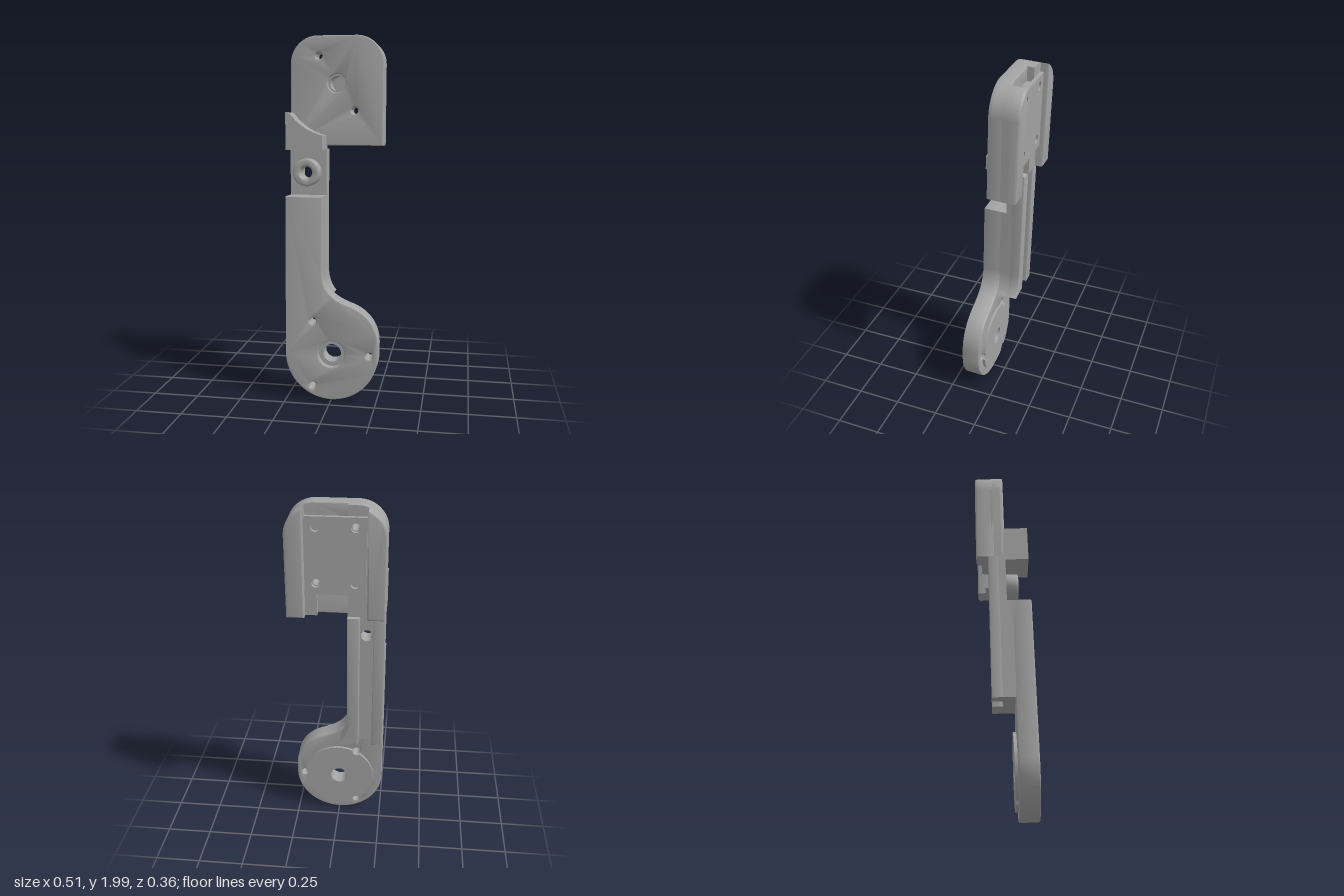
import * as THREE from 'three';
import { toCreasedNormals } from 'three/addons/utils/BufferGeometryUtils.js';

const grey = new THREE.MeshStandardMaterial({ color: 0xa3a3a3 });
grey.name = 'machinedGrey';

const W = 0.257;          // half width of head and hub
const HUB_Y = 0.262;      // centre of the pivot hub
const HEAD_Y = 1.743;     // centre of the head

const poly = (pts) => new THREE.Shape(pts.map(([x, y]) => new THREE.Vector2(x, y)));

function drill(shape, x, y, r) {
  const hole = new THREE.Path();
  hole.absarc(x, y, r, 0, Math.PI * 2, true);
  shape.holes.push(hole);
}

// Extrudes a front-facing shape between two depths, with an optional inset edge bevel
function slab(name, shape, z0, z1, bevel = 0) {
  const geo = new THREE.ExtrudeGeometry(shape, {
    depth: z1 - z0 - 2 * bevel, curveSegments: 32,
    bevelEnabled: bevel > 0, bevelThickness: bevel, bevelSize: bevel,
    bevelOffset: -bevel, bevelSegments: 3,
  });
  geo.translate(0, 0, z0 + bevel);
  const mesh = new THREE.Mesh(toCreasedNormals(geo, 0.6), grey);
  mesh.name = name;
  return mesh;
}

// Head silhouette; the notched version has cable openings at top and bottom
function headShape(notched) {
  const s = new THREE.Shape();
  s.moveTo(-W, 1.405);
  if (notched) [[-0.06, 1.405], [-0.06, 1.55], [0.1, 1.55], [0.1, 1.405]].forEach((p) => s.lineTo(...p));
  s.lineTo(W, 1.405);
  s.lineTo(W, 1.85);
  s.absarc(0.107, 1.85, 0.15, 0, notched ? 1.21 : Math.PI / 2, false);
  if (notched) [[0.16, 1.925], [-0.06, 1.925], [-0.06, 2.0]].forEach((p) => s.lineTo(...p));
  s.lineTo(-0.107, 2.0);
  s.absarc(-0.107, 1.85, 0.15, Math.PI / 2, Math.PI, false);
  s.lineTo(-W, 1.405);
  return s;
}

function buildHead() {
  const head = new THREE.Group();
  head.name = 'head';
  const front = headShape(false), back = headShape(true);
  for (const s of [front, back]) {
    drill(s, -0.1, HEAD_Y + 0.148, 0.019);
    drill(s, 0.1, HEAD_Y - 0.148, 0.019);
  }
  drill(front, 0, HEAD_Y, 0.05);
  drill(back, 0, HEAD_Y, 0.04);
  head.add(slab('headFront', front, -0.03, 0.048, 0.006));
  head.add(slab('headChannelFloor', back, -0.066, 0.03));

  // Side walls of the rear channel
  for (const side of [1, -1]) {
    const wall = new THREE.Shape();
    wall.moveTo(0.162, 1.405);
    wall.lineTo(W, 1.405);
    wall.lineTo(W, 1.85);
    wall.absarc(0.107, 1.85, 0.15, 0, 1.195, false);
    wall.lineTo(0.162, 1.405);
    const shape = side > 0 ? wall
      : new THREE.Shape(wall.getPoints(32).map((p) => new THREE.Vector2(-p.x, p.y)).reverse());
    head.add(slab(side > 0 ? 'leftWall' : 'rightWall', shape, -0.112, 0.0, 0.012));
  }

  // Cover plate with four screw holes
  const plate = poly([[-0.155, 1.535], [0.155, 1.535], [0.155, 1.945], [-0.155, 1.945]]);
  for (const x of [-0.1, 0.1]) for (const dy of [-0.148, 0.148]) drill(plate, x, HEAD_Y + dy, 0.024);
  head.add(slab('coverPlate', plate, -0.086, -0.066));
  return head;
}

function buildHub() {
  const hub = new THREE.Group();
  hub.name = 'hub';
  const screws = [0, 1, 2].map((i) => (i * Math.PI * 2) / 3);

  // Front plate: arm cover flowing into the round hub
  const s = new THREE.Shape();
  s.moveTo(-W, HUB_Y);
  s.absarc(0, HUB_Y, W, Math.PI, Math.PI * 2, false);
  s.lineTo(W, 0.32);
  s.bezierCurveTo(W, 0.42, 0.2, 0.5, 0.1, 0.535);
  s.bezierCurveTo(0.03, 0.56, -0.055, 0.6, -0.055, 0.72);
  s.lineTo(-0.055, 1.13);
  s.lineTo(-W, 1.13);
  s.lineTo(-W, HUB_Y);
  for (const a of screws) drill(s, 0.21 * Math.cos(a), HUB_Y + 0.21 * Math.sin(a), 0.02);
  drill(s, 0, HUB_Y, 0.074);
  hub.add(slab('hubAndArmCover', s, 0.074, 0.181, 0.006));

  // Raised rear disc, relieved around the screw holes
  const pts = [];
  for (let i = 0; i < 240; i++) {
    const a = (i / 240) * Math.PI * 2;
    let r = 0.205;
    for (const b of screws) {
      const k = 0.024 ** 2 - (0.21 * Math.sin(a - b)) ** 2;
      if (k > 0 && Math.cos(a - b) > 0) r = Math.min(r, 0.21 * Math.cos(a - b) - Math.sqrt(k));
    }
    pts.push([r * Math.cos(a), HUB_Y + r * Math.sin(a)]);
  }
  const disc = poly(pts);
  drill(disc, 0, HUB_Y, 0.05);
  hub.add(slab('rearDisc', disc, 0.058, 0.15));
  return hub;
}

function buildArm() {
  const arm = new THREE.Group();
  arm.name = 'arm';
  // Strip from xLeft to the inner edge, flaring at the foot
  const flared = (x0, top) => {
    const s = new THREE.Shape();
    s.moveTo(x0, 0.578);
    s.lineTo(-0.01, 0.578);
    s.quadraticCurveTo(-0.055, 0.63, -0.055, 0.72);
    s.lineTo(-0.055, top);
    s.lineTo(x0, top);
    s.lineTo(x0, 0.578);
    return s;
  };
  arm.add(slab('armCore', flared(-W, 1.13), 0.01, 0.1));

  const upper = poly([[-W, 1.1], [-0.055, 1.1], [-0.055, 1.42], [-W, 1.42]]);
  drill(upper, -0.157, 1.257, 0.033);
  arm.add(slab('armUpperWeb', upper, 0.01, 0.049));

  // Rear rails either side of the cable groove
  arm.add(slab('innerRail', flared(-0.12, 1.385), -0.047, 0.02, 0.005));
  const rail = poly([[-W, 0.578], [-0.195, 0.578], [-0.195, 1.42], [-W, 1.42]]);
  arm.add(slab('outerRail', rail, -0.047, 0.02, 0.005));

  // Bored boss on the front
  const boss = new THREE.Shape();
  boss.absarc(-0.157, 1.257, 0.076, 0, Math.PI * 2, false);
  drill(boss, -0.157, 1.257, 0.033);
  arm.add(slab('boss', boss, 0.03, 0.116, 0.012));

  // Curved stop block overlapping the head
  const stop = new THREE.Shape();
  stop.moveTo(-W, 1.382);
  stop.lineTo(-0.055, 1.382);
  stop.lineTo(-0.055, 1.46);
  stop.quadraticCurveTo(-0.165, 1.485, -0.24, 1.583);
  stop.lineTo(-W, 1.583);
  stop.lineTo(-W, 1.382);
  arm.add(slab('stopBlock', stop, 0.035, 0.176));
  return arm;
}

export function createModel() {
  const model = new THREE.Group();
  model.name = 'pivotArm';
  const body = new THREE.Group();
  body.name = 'tiltedBody';
  body.add(buildHead(), buildArm(), buildHub());
  body.rotation.x = -0.032; // slight backward lean
  model.add(body);
  return model;
}
